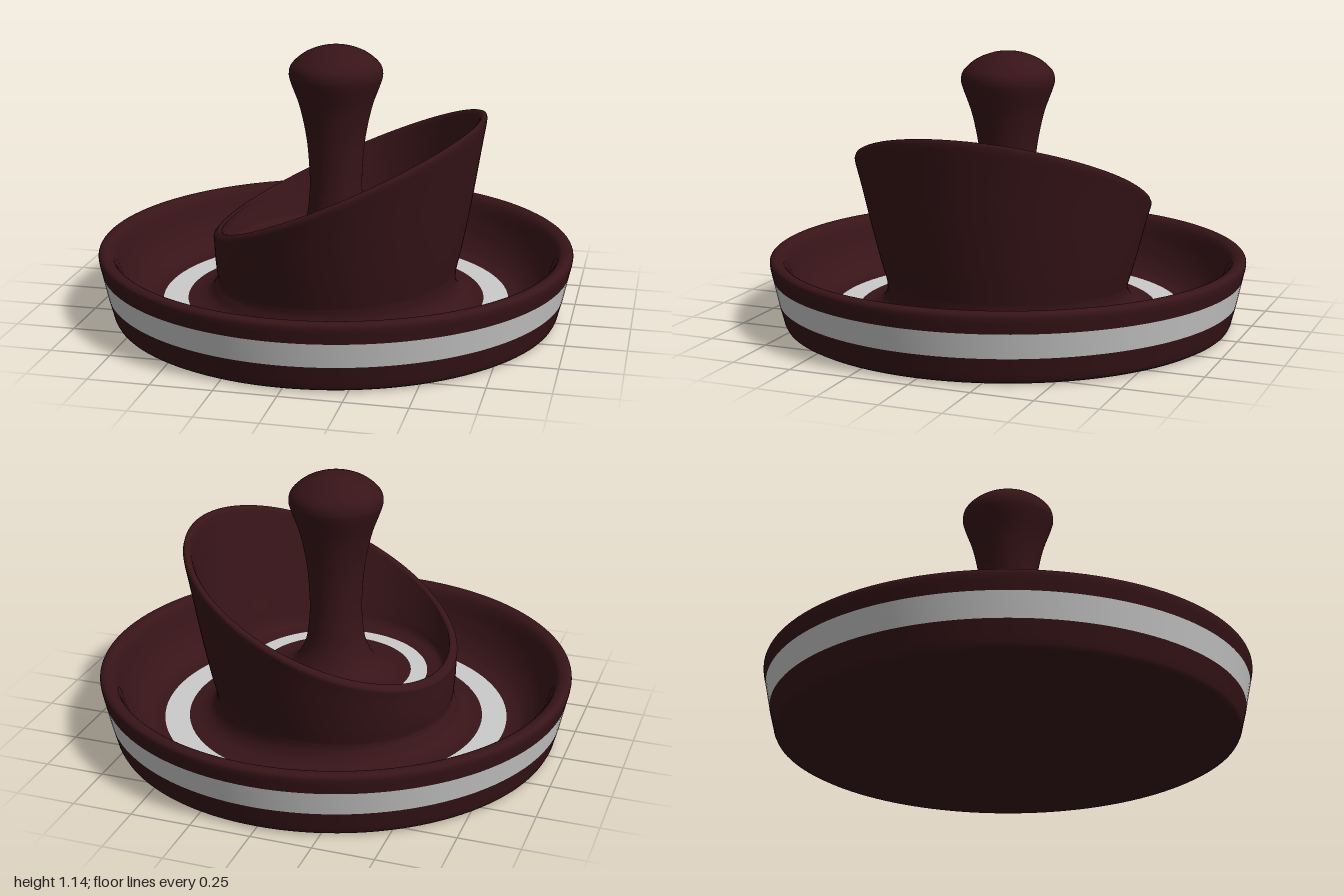
import * as THREE from 'three';
import { mergeVertices } from 'three/addons/utils/BufferGeometryUtils.js';

const dark = new THREE.MeshStandardMaterial({ color: 0x371418 });
const pale = new THREE.MeshStandardMaterial({ color: 0xcccccc });

// Turned surface from [radius, height] points, optionally bent by warp(vertex, pointIndex)
function turned(name, profile, material, warp) {
  const pts = profile.map(([r, y]) => new THREE.Vector2(r, y));
  let geo = new THREE.LatheGeometry(pts, 128);
  const pos = geo.attributes.position;
  if (warp) {
    const v = new THREE.Vector3();
    for (let i = 0; i < pos.count; i++) {
      warp(v.fromBufferAttribute(pos, i), i % pts.length);
      pos.setXYZ(i, v.x, v.y, v.z);
    }
  }
  // Weld the seam so the shading runs smoothly around
  geo.deleteAttribute('uv');
  geo.deleteAttribute('normal');
  geo = mergeVertices(geo, 1e-5);
  geo.computeVertexNormals();
  const mesh = new THREE.Mesh(geo, material);
  mesh.name = name;
  return mesh;
}

// Smooth curve through a few profile points
function smooth(points, n) {
  return new THREE.SplineCurve(points.map(([r, y]) => new THREE.Vector2(r, y)))
    .getPoints(n).map(p => [Math.max(p.x, 0), p.y]);
}

export function createModel() {
  const group = new THREE.Group();

  // Outer dish: underside, side stripe, rolled rim with inner slope
  group.add(turned('dishBase', [[0, 0], [0.9, 0], [0.925, 0.003], [0.938, 0.01], [0.945, 0.024],
    [0.95, 0.045], [0.967, 0.11]], dark));
  group.add(turned('sideStripe', [[0.967, 0.11], [0.988, 0.21]], pale));
  group.add(turned('dishRim', [[0.988, 0.21], ...smooth([[0.998, 0.255], [1, 0.275], [0.995, 0.288],
    [0.98, 0.295], [0.96, 0.292], [0.942, 0.28], [0.925, 0.25], [0.9, 0.185], [0.86, 0.12],
    [0.81, 0.076], [0.77, 0.062], [0.735, 0.06]], 48)], dark));
  group.add(turned('outerFloorRing', [[0.735, 0.06], [0.63, 0.06]], pale));

  // Flared cup wall: its level rim is tilted so that the +x side stands tall
  const outside = [...smooth([[0.63, 0.06], [0.58, 0.066], [0.535, 0.088], [0.511, 0.13], [0.511, 0.17]], 16),
    ...smooth([[0.53, 0.23], [0.565, 0.36], [0.6, 0.5], [0.622, 0.58]], 12),
    [0.624, 0.592], [0.62, 0.602], [0.612, 0.607], [0.604, 0.608]];
  const inside = [[0.595, 0.605], [0.588, 0.598], [0.584, 0.585],
    ...smooth([[0.575, 0.56], [0.53, 0.44], [0.485, 0.335], [0.465, 0.29], [0.44, 0.268], [0.39, 0.26]], 28)];
  const tilt = THREE.MathUtils.degToRad(24.6);
  group.add(turned('tiltedCupWall', [...outside, ...inside], dark, (v, j) => {
    const y0 = j < outside.length ? 0.12 : 0.26;
    const t = THREE.MathUtils.clamp((v.y - y0) / (0.6 - y0), 0, 1);
    v.y += t * v.x * Math.sin(tilt);
    v.x = v.x * (1 - t * (1 - Math.cos(tilt))) + 0.06 * t;
  }));

  // Inner floor ring and central knob
  group.add(turned('innerFloorRing', [[0.39, 0.26], [0.32, 0.26]], pale));
  group.add(turned('centralKnob', smooth([[0.32, 0.26], [0.25, 0.268], [0.175, 0.305], [0.128, 0.39],
    [0.112, 0.5], [0.111, 0.6], [0.122, 0.74], [0.15, 0.88], [0.187, 0.985], [0.195, 1.025],
    [0.182, 1.063], [0.13, 1.107], [0.06, 1.134], [0, 1.14]], 64), dark));

  return group;
}
